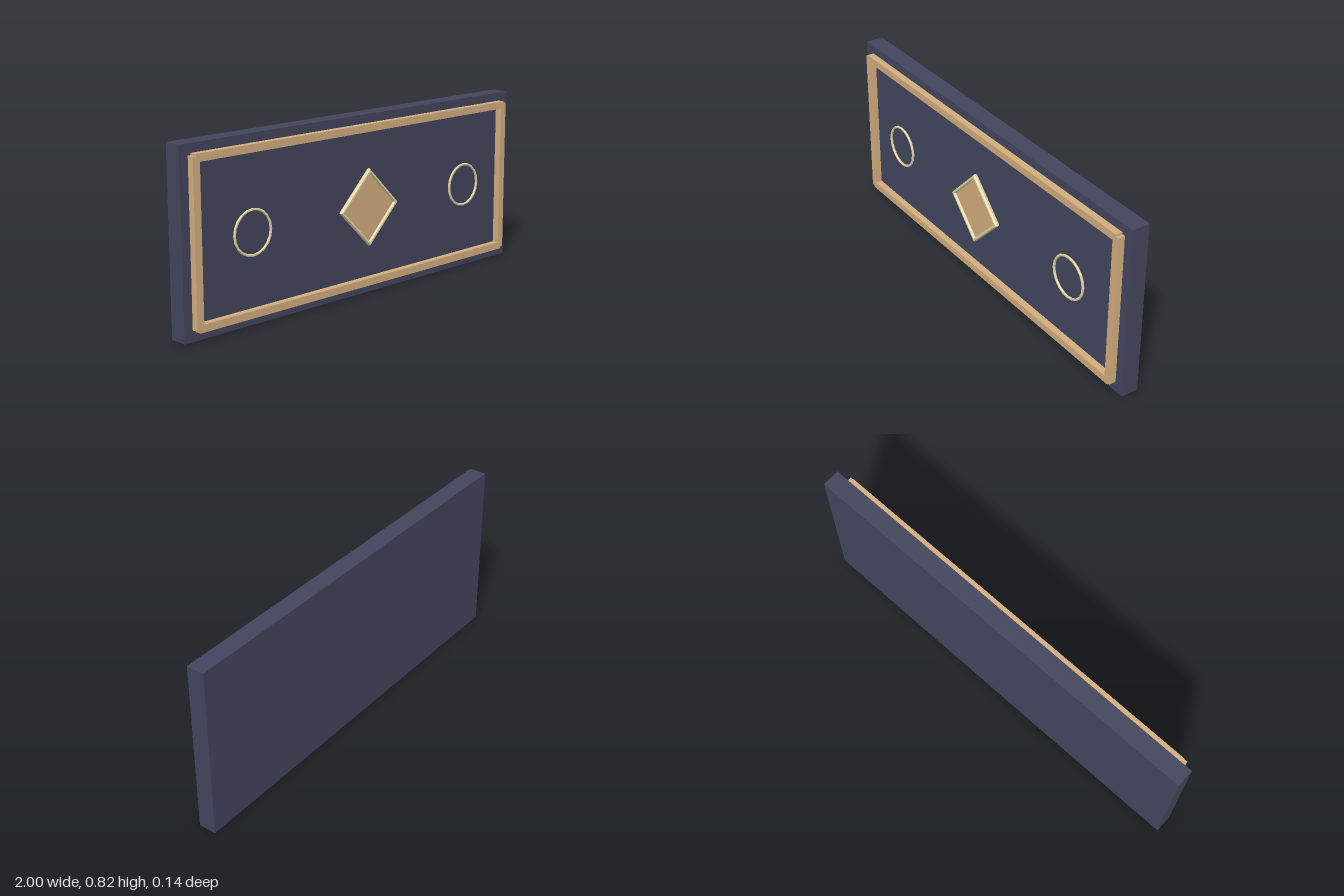
import * as THREE from 'three';

export function createModel() {
  const model = new THREE.Group();
  const mat = (color, flatShading = false) => new THREE.MeshStandardMaterial({ color, flatShading });
  const navy = mat(0x42455c);
  const tan = mat(0xd2ac7e);
  const paleGold = mat(0xdfd3a0, true);
  const midY = 0.409;

  const add = (name, geometry, material, x, y, z) => {
    const mesh = new THREE.Mesh(geometry, material);
    mesh.name = name;
    mesh.position.set(x, y, z);
    model.add(mesh);
    return mesh;
  };

  // Backing slab
  add('slab', new THREE.BoxGeometry(2, 0.818, 0.083), navy, 0, midY, -0.0285);

  // Raised border: rails and stiles with slightly stepped corners
  for (const side of [-1, 1]) {
    add(side > 0 ? 'topRail' : 'bottomRail',
      new THREE.BoxGeometry(1.885, 0.034, 0.034), tan, 0, midY + side * 0.352, 0.028);
    add(side > 0 ? 'leftStile' : 'rightStile',
      new THREE.BoxGeometry(0.035, 0.72, 0.0335), tan, side * 0.94, midY, 0.028);
    // Round ornament in each half of the panel
    add(side > 0 ? 'leftRing' : 'rightRing',
      new THREE.TorusGeometry(0.098, 0.006, 6, 20), paleGold, side * 0.655, midY, 0.041);
  }

  // Central diamond: thin plate held in a four-sided rim
  add('diamondRim', new THREE.TorusGeometry(0.166, 0.012, 6, 4), paleGold, 0, midY + 0.001, 0.0615);
  const plate = add('diamondPlate', new THREE.CylinderGeometry(0.162, 0.162, 0.006, 4), tan, 0, midY + 0.001, 0.059);
  plate.rotation.x = Math.PI / 2;

  return model;
}
